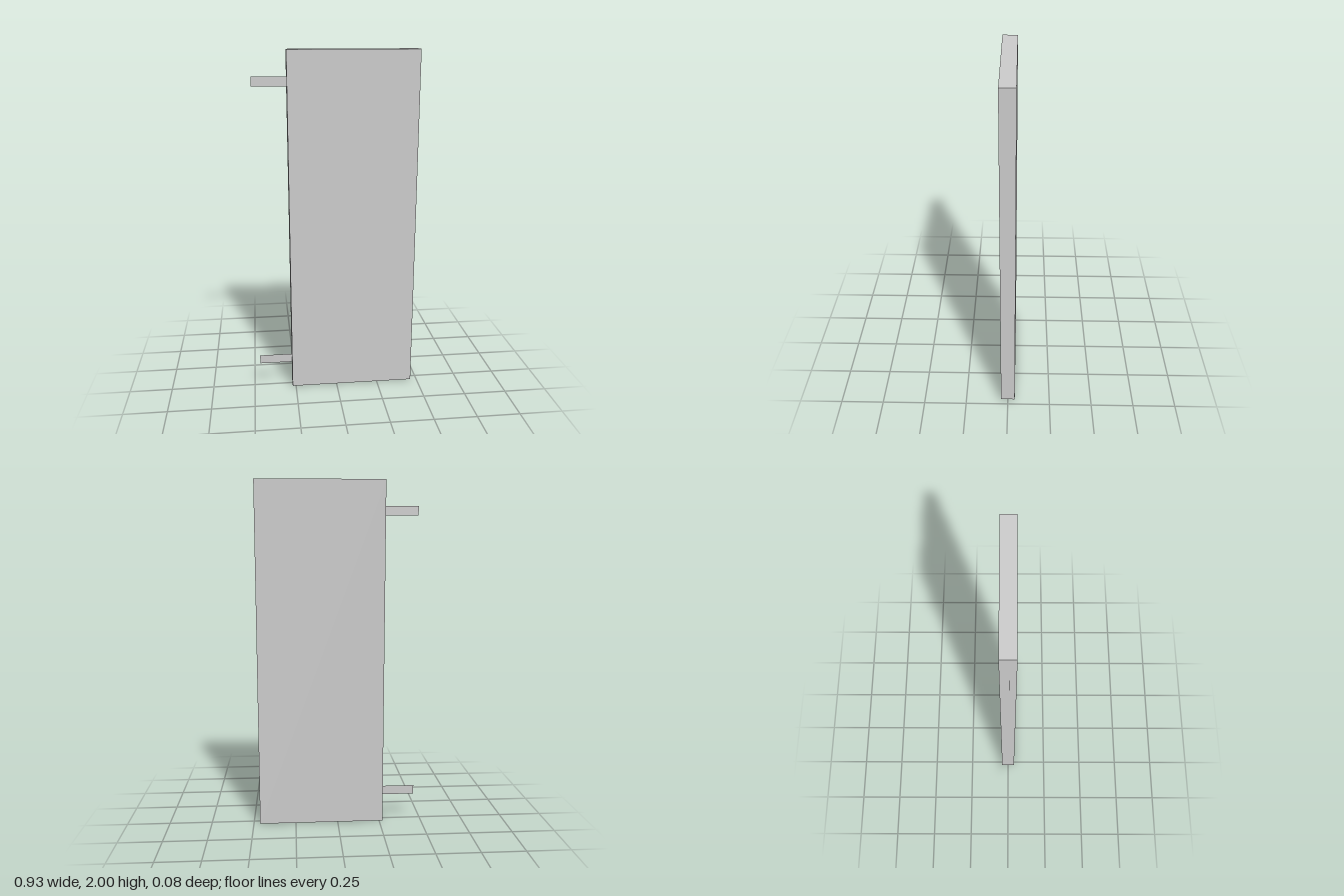
import * as THREE from 'three';

export function createModel() {
  const group = new THREE.Group();
  const solid = new THREE.MeshStandardMaterial({ color: 0xcccccc });
  const thin = new THREE.MeshStandardMaterial({ color: 0xcccccc, side: THREE.DoubleSide });

  // Upright slab
  const panel = new THREE.Mesh(new THREE.BoxGeometry(0.733, 2, 0.083), solid);
  panel.name = 'panel';
  panel.position.set(0.0965, 1, 0);
  group.add(panel);

  // Paper-thin mounting strips on the right edge
  for (const [name, y] of [['upperStrip', 1.831], ['lowerStrip', 0.174]]) {
    const strip = new THREE.Mesh(new THREE.PlaneGeometry(0.193, 0.053), thin);
    strip.name = name;
    strip.position.set(-0.3665, y, 0.008);
    group.add(strip);
  }
  return group;
}
